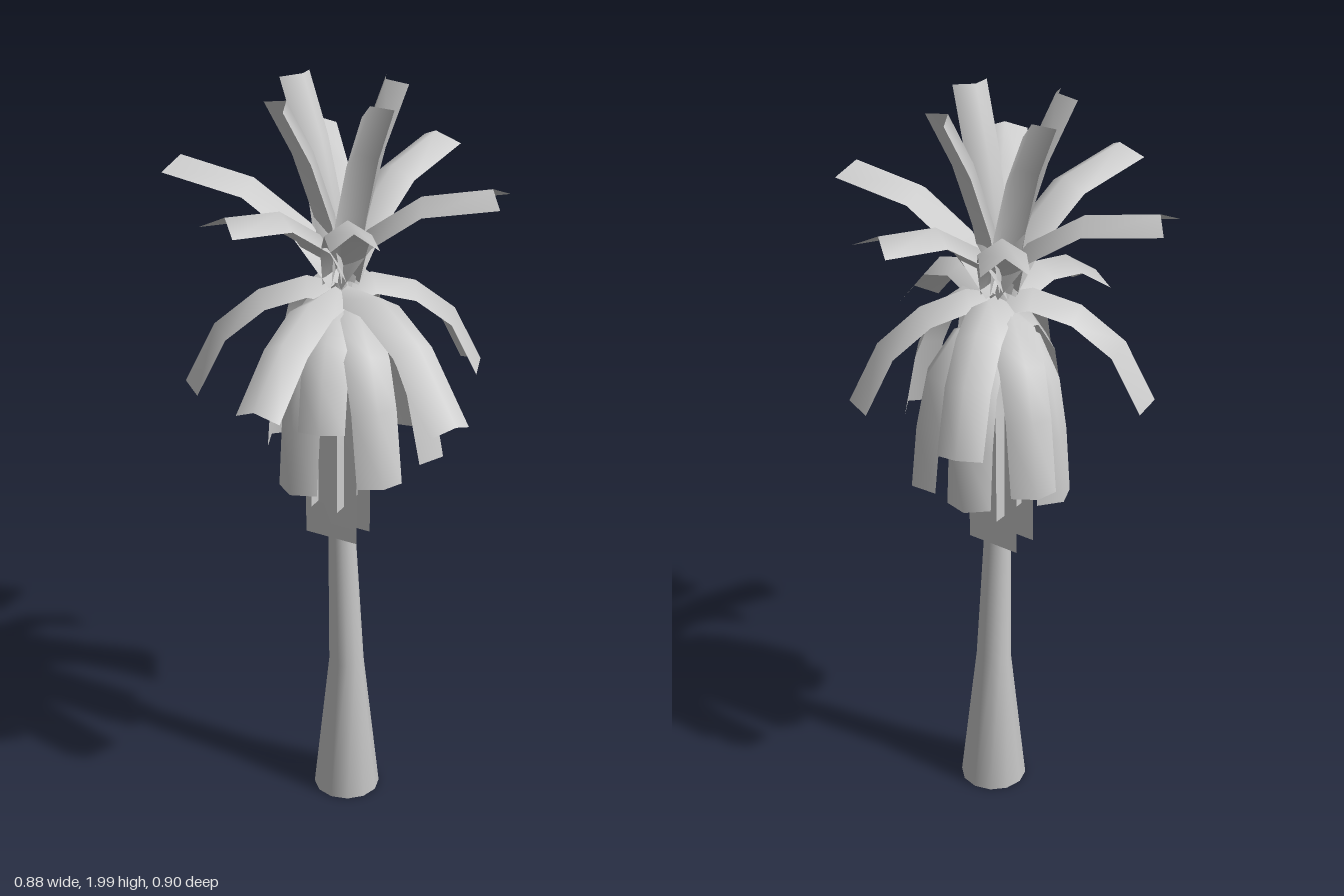
import * as THREE from 'three';

const CROWN_X = 0, CROWN_Z = -0.025;

const leafMaterial = new THREE.MeshStandardMaterial({ color: 0xcccccc, side: THREE.DoubleSide });

// A strip three vertices wide, ridged along the middle, following a path of [radius, height]
function frondGeometry(angle, path, width, fold, notch) {
  const d = new THREE.Vector3(Math.cos(angle), 0, Math.sin(angle));
  const side = new THREE.Vector3(-d.z, 0, d.x);
  const positions = [], index = [];
  path.forEach(([r, y], i) => {
    const a = path[Math.max(i - 1, 0)], b = path[Math.min(i + 1, path.length - 1)];
    const len = Math.hypot(b[0] - a[0], b[1] - a[1]);
    const tr = (b[0] - a[0]) / len, ty = (b[1] - a[1]) / len;
    const last = i === path.length - 1;
    const w = width * (i === 0 ? 0.8 : 1) / 2;
    for (const j of [-1, 0, 1]) {
      const lift = j === 0 ? fold / 2 : -fold / 2;
      const pull = last && j === 0 ? notch : 0;
      const rr = r - ty * lift - tr * pull;
      const yy = y + tr * lift - ty * pull;
      positions.push(CROWN_X + d.x * rr + side.x * w * j, yy, CROWN_Z + d.z * rr + side.z * w * j);
    }
    if (!last) {
      for (const j of [0, 1]) {
        const a0 = i * 3 + j, c0 = a0 + 3;
        index.push(a0, a0 + 1, c0, a0 + 1, c0 + 1, c0);
      }
    }
  });
  const g = new THREE.BufferGeometry();
  g.setAttribute('position', new THREE.Float32BufferAttribute(positions, 3));
  g.setIndex(index);
  g.computeVertexNormals();
  return g;
}

// Each tier: shape as fractions of reach and height change, then tips as [x, z, y]
const tiers = [
  {
    name: 'uprightFrond', base: 1.5, width: 0.09, fold: 0.036, notch: 0.008,
    shape: [[0, 0], [0.2, 0.35], [0.55, 0.7], [1, 1]],
    tips: [[-0.155, -0.095, 1.985], [0.065, -0.165, 1.985], [-0.085, 0.12, 1.985], [0.13, 0.05, 1.985]],
  },
  {
    name: 'spreadingFrond', base: 1.5, width: 0.113, fold: 0.036, notch: 0.024,
    shape: [[0, 0], [0.2, 0.47], [0.52, 0.84], [1, 1]],
    tips: [[-0.43, 0.06, 1.765], [-0.26, -0.365, 1.765], [0.07, -0.435, 1.76],
      [0.395, -0.11, 1.765], [0.225, 0.32, 1.765], [-0.105, 0.38, 1.765]],
  },
  {
    name: 'archingFrond', base: 1.47, width: 0.115, fold: 0.036, notch: 0,
    shape: [[0, 0], [0.36, -0.12], [0.67, 0.2], [1, 1]],
    tips: [[0.42, 0.19, 1.28], [0.03, 0.445, 1.335]],
  },
  {
    name: 'bowedFrond', base: 1.47, width: 0.115, fold: 0.036, notch: 0,
    shape: [[0, 0], [0.22, -0.08], [0.52, 0.06], [0.8, 0.4], [1, 1]],
    tips: [[-0.33, 0.15, 1.21], [-0.11, -0.35, 1.21], [0.25, -0.285, 1.22]],
  },
  {
    name: 'droopingFrond', base: 1.45, width: 0.115, fold: 0.036, notch: 0,
    shape: [[0, 0], [0.38, -0.02], [0.68, 0.18], [0.86, 0.5], [1, 1]],
    tips: [[0.28, -0.015, 1.08], [0.245, 0.215, 1.09], [0.1, 0.26, 1.22], [-0.24, -0.21, 1.08]],
  },
  {
    name: 'hangingFrond', base: 1.42, width: 0.115, fold: 0.036, notch: 0,
    shape: [[0, 0], [0.45, 0.04], [0.8, 0.28], [0.93, 0.6], [1, 1]],
    tips: [[-0.02, 0.18, 0.99], [-0.21, -0.065, 0.99], [0.1, -0.235, 1.01], [-0.06, -0.25, 1.0]],
  },
];

function makeTrunk() {
  // Rows from the ground up: [height, radius, centre x, centre z]
  const rows = [[0, 0.088, 0.025, -0.02], [0.4, 0.046, 0.023, -0.02],
    [0.8, 0.035, 0.005, -0.025], [1.5, 0.03, CROWN_X, CROWN_Z]];
  const g = new THREE.CylinderGeometry(1, 1, 3, 12, 3, true);
  const p = g.attributes.position;
  for (let i = 0; i < p.count; i++) {
    const [y, r, cx, cz] = rows[Math.round(p.getY(i) + 1.5)];
    p.setXYZ(i, cx + p.getX(i) * r, y, cz + p.getZ(i) * r);
  }
  const trunk = new THREE.Mesh(g, new THREE.MeshStandardMaterial({ color: 0xcccccc, side: THREE.DoubleSide }));
  trunk.name = 'trunk';
  return trunk;
}

export function createModel() {
  const model = new THREE.Group();
  model.name = 'palmTree';
  model.add(makeTrunk());

  // Crown of fronds in tiers
  for (const { name, base, width, fold, notch, shape, tips } of tiers) {
    const tier = new THREE.Group();
    tier.name = name + 's';
    for (const [x, z, y] of tips) {
      const dx = x - CROWN_X, dz = z - CROWN_Z, reach = Math.hypot(dx, dz);
      const path = shape.map(([r, h]) => [r * reach, base + h * (y - base)]);
      const frond = new THREE.Mesh(frondGeometry(Math.atan2(dz, dx), path, width, fold, notch), leafMaterial);
      frond.name = name;
      tier.add(frond);
    }
    model.add(tier);
  }

  // Dead leaves lying flat against the trunk
  const skirt = new THREE.Group();
  skirt.name = 'deadLeafSkirt';
  [0.88, 0.78, 0.88, 0.78].forEach((bottom, i) => {
    const path = [[0, 1.42], [0.03, 1.38], [0.037, 1.1], [0.037, bottom]];
    const leaf = new THREE.Mesh(frondGeometry(i * Math.PI / 2, path, 0.148, 0, 0), leafMaterial);
    leaf.name = 'deadLeaf';
    leaf.position.x = -0.006;
    skirt.add(leaf);
  });
  model.add(skirt);
  return model;
}
